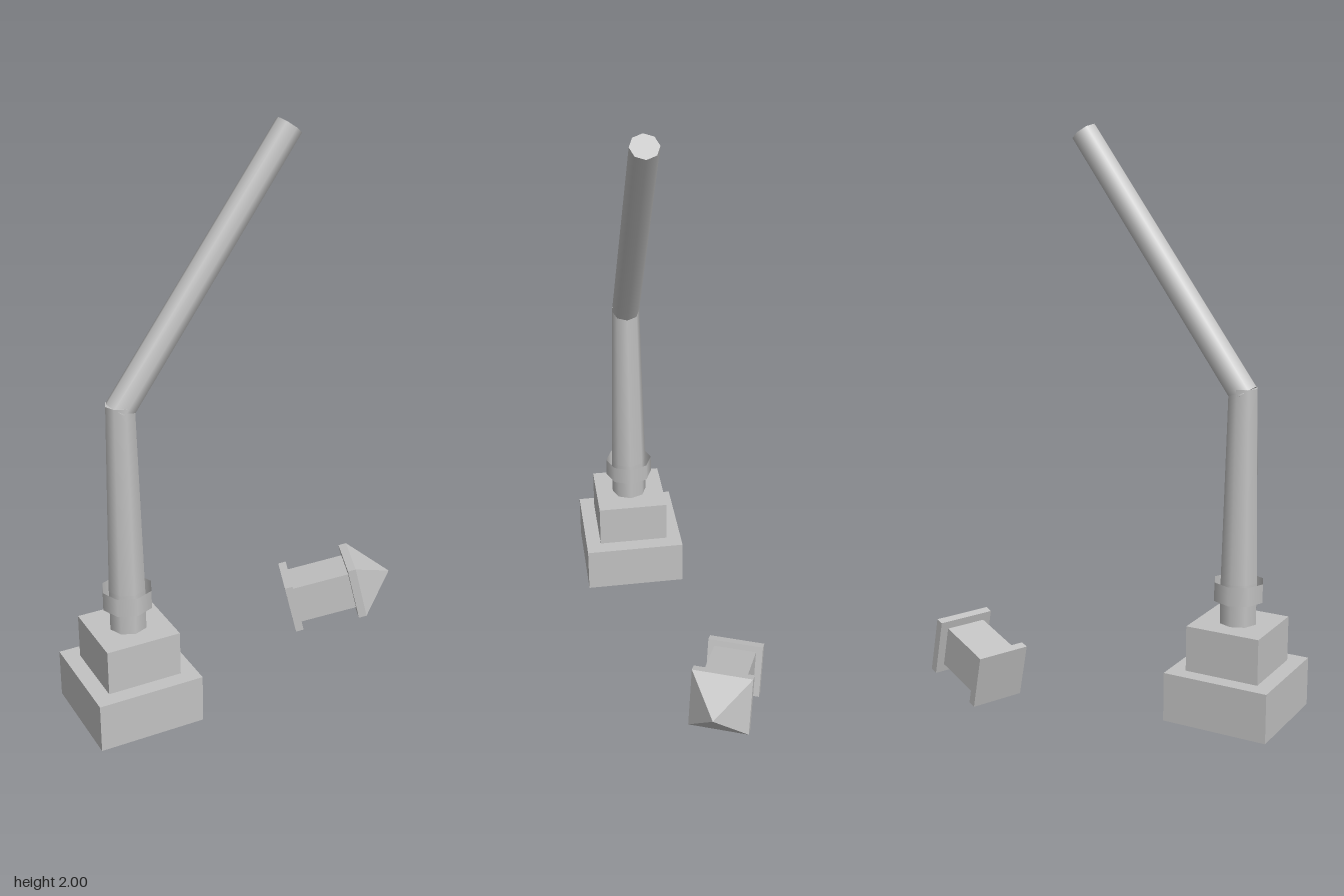
import * as THREE from 'three';

export function createModel() {
  const model = new THREE.Group();
  const grey = new THREE.MeshStandardMaterial({ color: 0xc2c2c2, side: THREE.DoubleSide });
  grey.name = 'stoneGrey';

  const add = (parent, name, geometry, x = 0, y = 0, z = 0) => {
    const mesh = new THREE.Mesh(geometry, grey);
    mesh.name = name;
    mesh.position.set(x, y, z);
    parent.add(mesh);
    return mesh;
  };

  // Box without its underside
  const openBox = (w, h) => {
    const g = new THREE.BoxGeometry(w, h, w);
    const index = Array.from(g.index.array);
    index.splice(18, 6);
    g.setIndex(index);
    g.clearGroups();
    return g;
  };

  // Eight-sided tube between two heights
  const tube = (rTop, rBottom, h, open = false) =>
    new THREE.CylinderGeometry(rTop, rBottom, h, 8, 1, open);

  // Standing post: stepped plinth, shaft, collar and tapered pole
  const post = new THREE.Group();
  post.name = 'post';
  post.position.set(-0.485, 0, 0.095);
  model.add(post);
  add(post, 'lowerPlinth', openBox(0.37, 0.17), 0, 0.113, 0);
  add(post, 'upperPlinth', openBox(0.26, 0.157), 0, 0.2765, 0);
  add(post, 'shaft', tube(0.065, 0.065, 0.145, true), 0, 0.4275, 0);
  add(post, 'collar', tube(0.087, 0.087, 0.065, true), 0, 0.4675, 0);
  add(post, 'pole', tube(0.05, 0.065, 0.655), 0, 0.8275, 0);

  // Bent upper pole
  const start = new THREE.Vector3(-0.49, 1.133, 0.095);
  const end = new THREE.Vector3(0.112, 1.972, 0.095);
  const along = end.clone().sub(start);
  const arm = add(model, 'bentPole', tube(0.047, 0.05, along.length()));
  arm.position.copy(start).add(end).multiplyScalar(0.5);
  arm.quaternion.setFromUnitVectors(new THREE.Vector3(0, 1, 0), along.normalize());

  // Fallen lantern, built upright and then laid on its side
  const lantern = new THREE.Group();
  lantern.name = 'fallenLantern';
  const box = (w, h) => new THREE.BoxGeometry(w, h, w);
  add(lantern, 'lanternBase', box(0.196, 0.03), 0, 0.015, 0);
  add(lantern, 'lanternBody', box(0.15, 0.216), 0, 0.138, 0);
  add(lantern, 'roofPlate', box(0.21, 0.03), 0, 0.261, 0);
  const roof = new THREE.ConeGeometry(0.105 * Math.SQRT2, 0.13, 4, 1, true)
    .rotateY(Math.PI / 4).toNonIndexed();
  roof.computeVertexNormals();
  add(lantern, 'roof', roof, 0, 0.341, 0);

  const yaw = THREE.MathUtils.degToRad(22);
  const pitch = THREE.MathUtils.degToRad(13.5);
  const axis = new THREE.Vector3(
    Math.cos(pitch) * Math.cos(yaw), Math.sin(pitch), Math.cos(pitch) * Math.sin(yaw));
  const side = new THREE.Vector3(-Math.sin(yaw), 0, Math.cos(yaw));
  const across = axis.clone().cross(side);
  lantern.quaternion.setFromRotationMatrix(new THREE.Matrix4().makeBasis(across, axis, side));
  lantern.position.set(0.294, 0.098, -0.187);
  model.add(lantern);

  return model;
}
